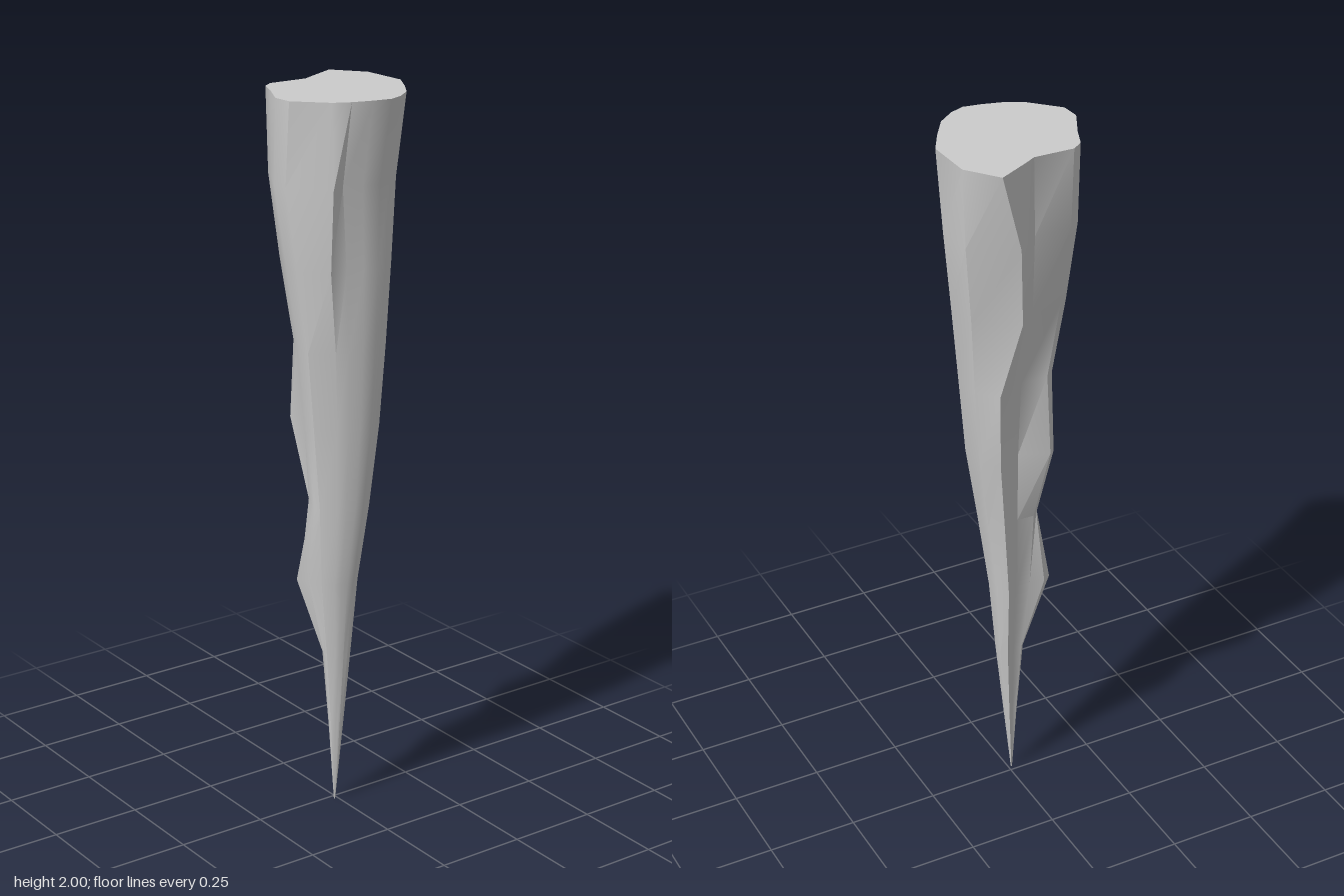
import * as THREE from 'three';
import { toCreasedNormals } from 'three/addons/utils/BufferGeometryUtils.js';

// Outline of the broad end as [x, z], running from the ridge round the back
const OUTLINE = [
  [-0.205, -0.13], [-0.12, -0.195], [0.015, -0.2], [0.085, -0.16], [0.15, -0.117],
  [0.187, -0.07], [0.203, -0.03], [0.195, 0.02], [0.18, 0.075], [0.158, 0.12],
  [0.08, 0.195], [0.025, 0.198], [-0.06, 0.155], [-0.12, 0.13], [-0.142, 0.1],
  [-0.14, -0.01], [-0.16, -0.045],
];

// Nine equal steps, tip to top: [xMin, xMax, zMin, zMax]
const LEVELS = [
  [0.013, 0.017, 0.008, 0.012],
  [-0.008, 0.036, -0.016, 0.027],
  [-0.03, 0.055, -0.04, 0.046],
  [-0.06, 0.08, -0.06, 0.07],
  [-0.073, 0.115, -0.087, 0.09],
  [-0.1, 0.13, -0.123, 0.11],
  [-0.117, 0.15, -0.14, 0.135],
  [-0.16, 0.16, -0.165, 0.165],
  [-0.18, 0.167, -0.187, 0.198],
  [-0.205, 0.203, -0.2, 0.198],
];

// Local dents and bulges: [level, outline index, x, z]
const KNOBS = [
  [8, 0, -0.18, -0.065], [8, 16, -0.15, -0.03], [8, 15, -0.128, 0], [8, 9, 0.165, 0.12],
  [7, 0, -0.16, -0.05], [7, 16, -0.135, -0.025], [7, 15, -0.118, 0], [7, 9, 0.14, 0.11],
  [5, 14, -0.1, 0.065], [5, 13, -0.09, 0.08],
  [3, 12, -0.03, 0.103], [3, 13, -0.045, 0.08], [3, 11, 0, 0.085],
];

function icicleGeometry() {
  const n = OUTLINE.length;
  const position = [];
  const index = [];
  LEVELS.forEach(([x0, x1, z0, z1], level) => {
    OUTLINE.forEach(([x, z], i) => {
      const knob = KNOBS.find((k) => k[0] === level && k[1] === i);
      const px = knob ? knob[2] : x0 + ((x + 0.205) / 0.408) * (x1 - x0);
      const pz = knob ? knob[3] : z0 + ((z + 0.2) / 0.398) * (z1 - z0);
      position.push(px, (level * 2) / 9, pz);
    });
  });
  // Sides
  for (let l = 0; l < LEVELS.length - 1; l++) {
    for (let i = 0; i < n; i++) {
      const a = l * n + i, b = l * n + ((i + 1) % n);
      index.push(a, a + n, b, b, a + n, b + n);
    }
  }
  // Flat top and tiny tip
  const last = (LEVELS.length - 1) * n;
  const centre = position.length / 3;
  position.push(0, 2, 0, 0.015, 0, 0.01);
  for (let i = 0; i < n; i++) {
    const j = (i + 1) % n;
    index.push(centre, last + j, last + i, centre + 1, i, j);
  }
  const geometry = new THREE.BufferGeometry();
  geometry.setAttribute('position', new THREE.Float32BufferAttribute(position, 3));
  geometry.setIndex(index);
  return toCreasedNormals(geometry, THREE.MathUtils.degToRad(35));
}

export function createModel() {
  const model = new THREE.Group();
  model.name = 'icicle';
  const spike = new THREE.Mesh(icicleGeometry(), new THREE.MeshStandardMaterial({ color: 0xcccccc }));
  spike.name = 'spike';
  model.add(spike);
  return model;
}
